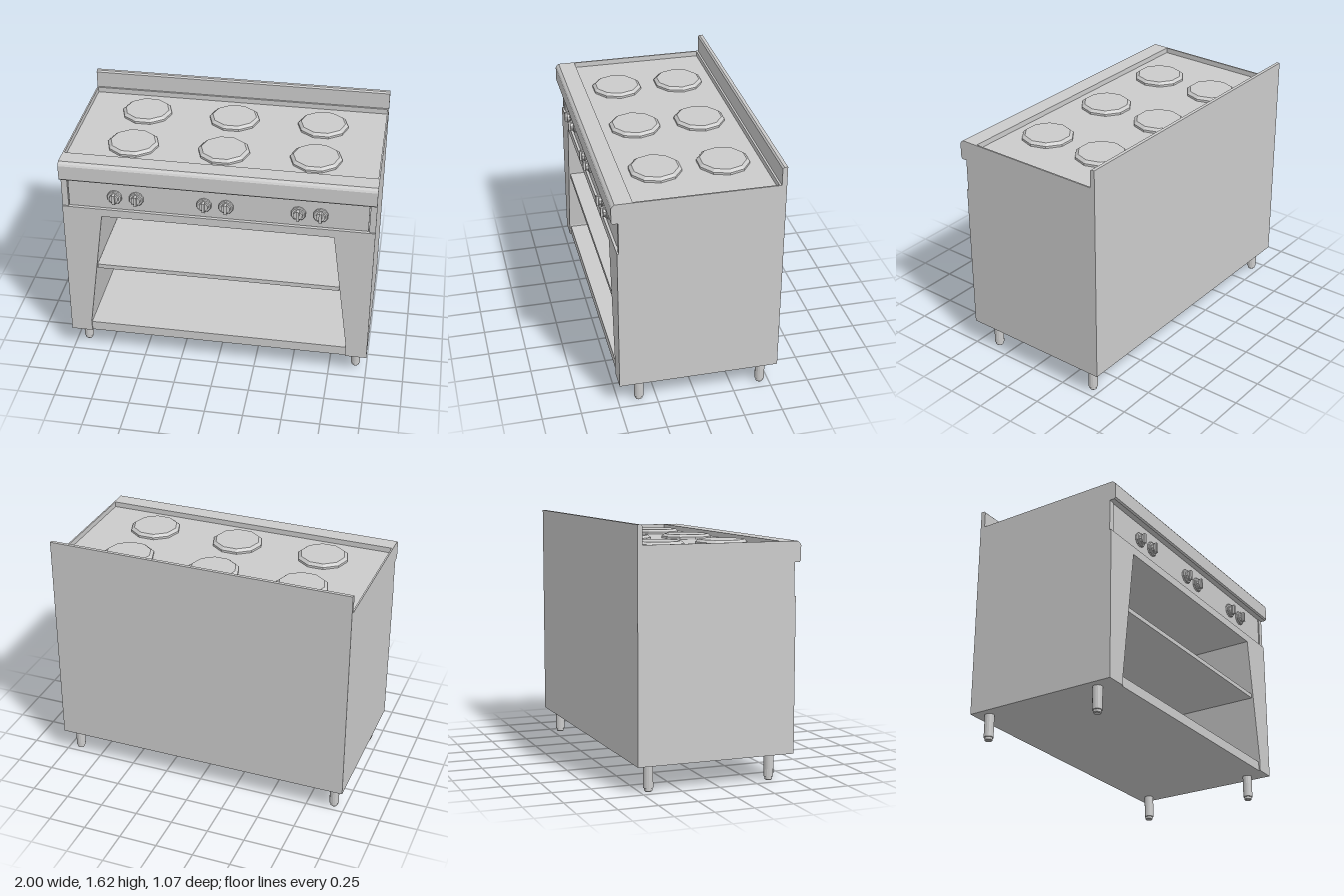
import * as THREE from 'three';

const material = new THREE.MeshStandardMaterial({ color: 0xcccccc, flatShading: true });

export function createModel() {
  const range = new THREE.Group();
  range.name = 'cookingRange';

  function add(name, geometry, parent = range) {
    const mesh = new THREE.Mesh(geometry, material);
    mesh.name = name;
    parent.add(mesh);
    return mesh;
  }

  // Box given by its lower and upper limits on each axis
  function box(name, x0, x1, y0, y1, z0, z1, parent) {
    const mesh = add(name, new THREE.BoxGeometry(x1 - x0, y1 - y0, z1 - z0), parent);
    mesh.position.set((x0 + x1) / 2, (y0 + y1) / 2, (z0 + z1) / 2);
    return mesh;
  }

  const shapeOf = (points) => new THREE.Shape(points.map(([x, y]) => new THREE.Vector2(x, y)));

  // Side profile of [z, y] points, swept across the full width
  function sweepAcross(name, points) {
    const geometry = new THREE.ExtrudeGeometry(
      shapeOf(points.map(([z, y]) => [-z, y])), { depth: 2, bevelEnabled: false });
    geometry.rotateY(Math.PI / 2).translate(-1, 0, 0);
    return add(name, geometry);
  }

  // Cabinet with a tapered opening that runs through to the back panel
  const cabinet = shapeOf([
    [-1, 0.17], [-0.86, 0.17], [-0.86, 0.25], [-0.745, 1.105],
    [0.745, 1.105], [0.86, 0.25], [0.86, 0.17], [1, 0.17], [1, 1.16], [-1, 1.16],
  ]);
  add('cabinet', new THREE.ExtrudeGeometry(cabinet, { depth: 1.02, bevelEnabled: false }))
    .position.z = -0.52;
  box('backPanel', -1, 1, 0.17, 1.16, -0.535, -0.52);
  box('cabinetFloor', -0.86, 0.86, 0.17, 0.235, -0.52, 0.49);
  box('shelf', -0.795, 0.795, 0.69, 0.72, -0.52, 0.49);

  // Upper body and recessed control panel between two end strips
  box('upperBody', -1, 1, 1.16, 1.465, -0.535, 0.47);
  box('controlPanel', -0.955, 0.955, 1.165, 1.37, 0.47, 0.485);
  for (const s of [-1, 1]) {
    box('panelEnd', s * 0.98 - 0.02, s * 0.98 + 0.02, 1.16, 1.37, 0.47, 0.49);
    box('sideRim', s * 0.995 - 0.005, s * 0.995 + 0.005, 1.465, 1.5, -0.49, 0.4);
  }

  // Rounded front nose and rear upstand, leaving a sunken hob between them
  sweepAcross('frontNose', [
    [0.4, 1.46], [0.47, 1.46], [0.47, 1.37], [0.522, 1.37], [0.532, 1.38],
    [0.532, 1.475], [0.525, 1.487], [0.51, 1.5], [0.4, 1.5],
  ]);
  sweepAcross('backsplash', [
    [-0.535, 1.465], [-0.49, 1.465], [-0.49, 1.5], [-0.503, 1.5],
    [-0.503, 1.61], [-0.513, 1.62], [-0.535, 1.62],
  ]);

  // Ten-sided hotplates with a bevelled edge
  const lathe = (points, sides) =>
    new THREE.LatheGeometry(points.map(([r, y]) => new THREE.Vector2(r, y)), sides);
  const plate = lathe([[0, 0], [0.166, 0], [0.166, 0.014], [0.146, 0.03], [0, 0.03]], 10)
    .rotateY(Math.PI / 2);
  for (const x of [-0.595, -0.005, 0.585]) {
    for (const z of [-0.255, 0.175]) add('hotplate', plate).position.set(x, 1.465, z);
  }

  // Control knobs in three pairs, each with a vertical grip
  const knobDial = lathe([
    [0, 0], [0.048, 0], [0.048, 0.012], [0.043, 0.018], [0.031, 0.018], [0.029, 0.034], [0, 0.034],
  ], 10).rotateX(Math.PI / 2);
  for (const centre of [-0.585, -0.01, 0.585]) {
    for (const offset of [-0.07, 0.07]) {
      const knob = new THREE.Group();
      knob.name = 'knob';
      add('knobDial', knobDial, knob);
      box('knobGrip', -0.009, 0.009, -0.033, 0.033, 0.015, 0.048, knob);
      knob.position.set(centre + offset, 1.255, 0.485);
      range.add(knob);
    }
  }

  // Legs with a narrower adjustable foot
  const leg = lathe([
    [0, 0], [0.021, 0], [0.025, 0.005], [0.025, 0.02], [0.031, 0.022], [0.031, 0.17],
  ], 14);
  for (const x of [-0.925, 0.925]) {
    for (const z of [-0.443, 0.363]) add('leg', leg).position.set(x, 0, z);
  }

  return range;
}
